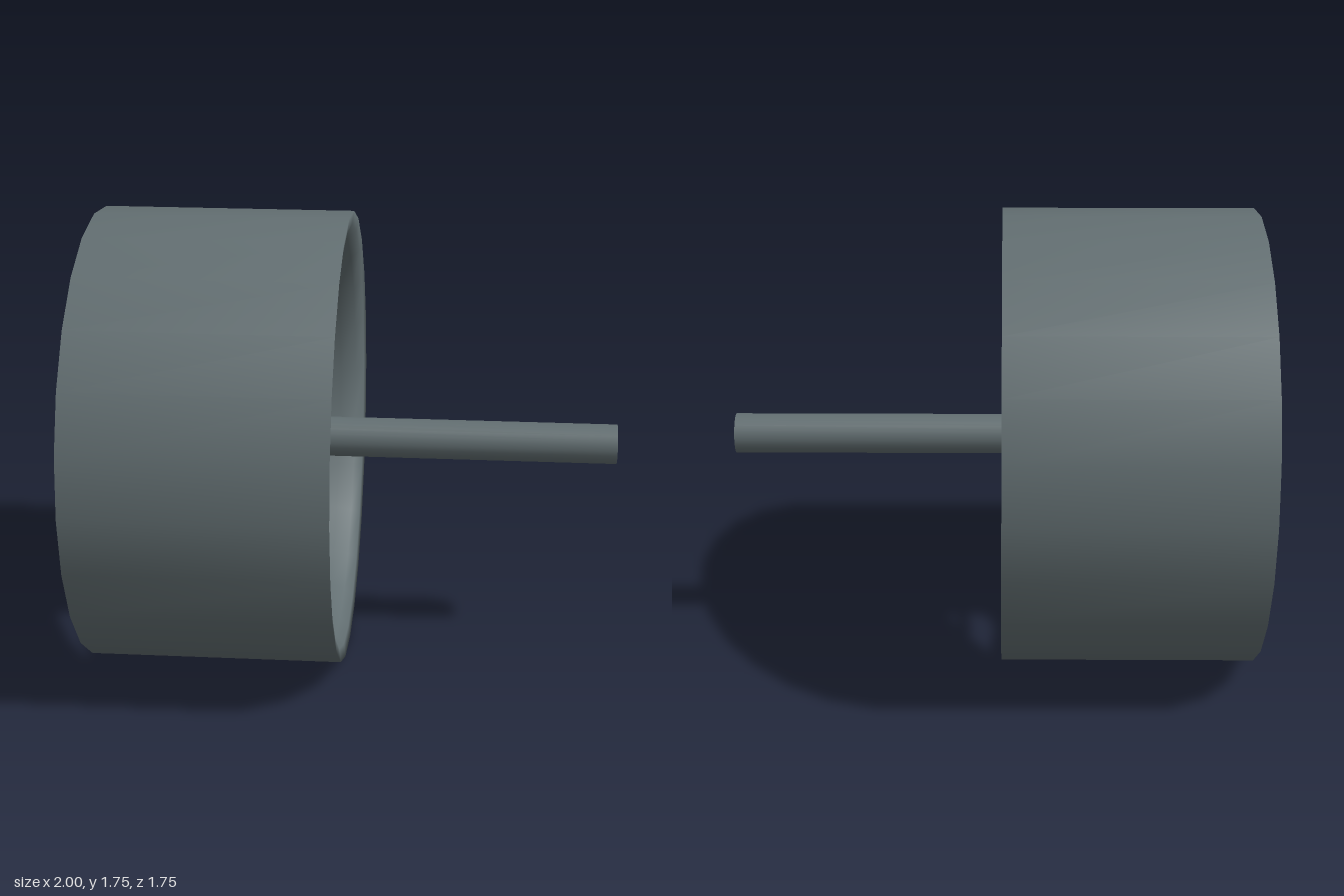
import * as THREE from 'three';

const steel = new THREE.MeshStandardMaterial({ color: 0x636f72 });
steel.name = 'blue grey steel';
const bronze = new THREE.MeshStandardMaterial({ color: 0x907b56, side: THREE.DoubleSide });
bronze.name = 'bronze';

// Turned part around the x axis; points are [radius, x]
function turned(name, points, segments) {
  const geo = new THREE.LatheGeometry(points.map(([r, x]) => new THREE.Vector2(r, x)), segments);
  geo.rotateZ(-Math.PI / 2);
  const mesh = new THREE.Mesh(geo, steel);
  mesh.name = name;
  return mesh;
}

// Swept blade: rows are [radius, convex edge angle, concave edge angle, convex edge x, concave edge x]
function bladeGeometry() {
  const rows = [
    [0.12, -8, 24, -0.49, -0.60],
    [0.17, -16, 28, -0.47, -0.61],
    [0.27, -22, 26, -0.465, -0.625],
    [0.34, -21.5, 25, -0.465, -0.63],
    [0.42, -17, 24, -0.47, -0.635],
    [0.50, -9, 23.5, -0.48, -0.635],
    [0.58, 0, 24, -0.50, -0.635],
    [0.65, 11, 25, -0.535, -0.635],
    [0.71, 19, 27, -0.58, -0.635],
    [0.745, 26, 28.5, -0.62, -0.635],
  ];
  const across = 8, loop = across * 2;
  const pos = [], index = [];
  rows.forEach(([r, a0, a1, x0, x1], i) => {
    const thick = 0.026 * (1 - 0.75 * i / (rows.length - 1));
    for (let j = 0; j < loop; j++) {
      const s = j <= across ? j / across : 2 - j / across;
      const a = THREE.MathUtils.degToRad(THREE.MathUtils.lerp(a0, a1, s));
      const bulge = (j <= across ? 1 : -1) * thick * Math.sin(Math.PI * s);
      pos.push(THREE.MathUtils.lerp(x0, x1, s) + bulge, r * Math.sin(a), -r * Math.cos(a));
    }
  });
  for (let i = 0; i < rows.length - 1; i++) {
    for (let j = 0; j < loop; j++) {
      const k = (j + 1) % loop;
      const a = i * loop + j, b = i * loop + k, c = a + loop, d = b + loop;
      index.push(a, c, b, b, c, d);
    }
  }
  // Tip cap
  const tip = (rows.length - 1) * loop;
  for (let j = 1; j < loop - 1; j++) index.push(tip, tip + j + 1, tip + j);
  const geo = new THREE.BufferGeometry();
  geo.setAttribute('position', new THREE.Float32BufferAttribute(pos, 3));
  geo.setIndex(index);
  geo.computeVertexNormals();
  return geo;
}

export function createModel() {
  const model = new THREE.Group();
  model.name = 'ductedPropeller';

  // Duct with a flat outside and rounded inner lips
  model.add(turned('duct', [
    [0.752, -0.5], [0.756, -0.75], [0.768, -0.9], [0.79, -0.96], [0.825, -0.993], [0.875, -1],
    [0.875, -0.035],
    [0.825, -0.042], [0.79, -0.075], [0.768, -0.135], [0.756, -0.285], [0.752, -0.5],
  ], 24));

  // Hub with a domed rear cap and a taper to the shaft
  const hub = [];
  for (let i = 0; i <= 8; i++) {
    const a = (i / 8) * Math.PI / 2;
    hub.push([0.155 * Math.sin(a), -0.57 - 0.155 * Math.cos(a)]);
  }
  hub.push([0.155, -0.45], [0.145, -0.41], [0.12, -0.37], [0.075, -0.34]);
  model.add(turned('hub', hub, 32));

  // Drive shaft
  const shaft = new THREE.Mesh(new THREE.CylinderGeometry(0.077, 0.077, 1.45, 24), steel);
  shaft.name = 'driveShaft';
  shaft.rotation.z = -Math.PI / 2;
  shaft.position.x = 0.275;
  model.add(shaft);

  // Seven blades around the hub
  const geo = bladeGeometry();
  const blades = new THREE.Group();
  blades.name = 'blades';
  for (let i = 0; i < 7; i++) {
    const blade = new THREE.Mesh(geo, bronze);
    blade.name = 'blade';
    blade.rotation.x = (i / 7) * Math.PI * 2;
    blades.add(blade);
  }
  model.add(blades);

  model.children.forEach((part) => { part.position.y = 0.875; });
  return model;
}
